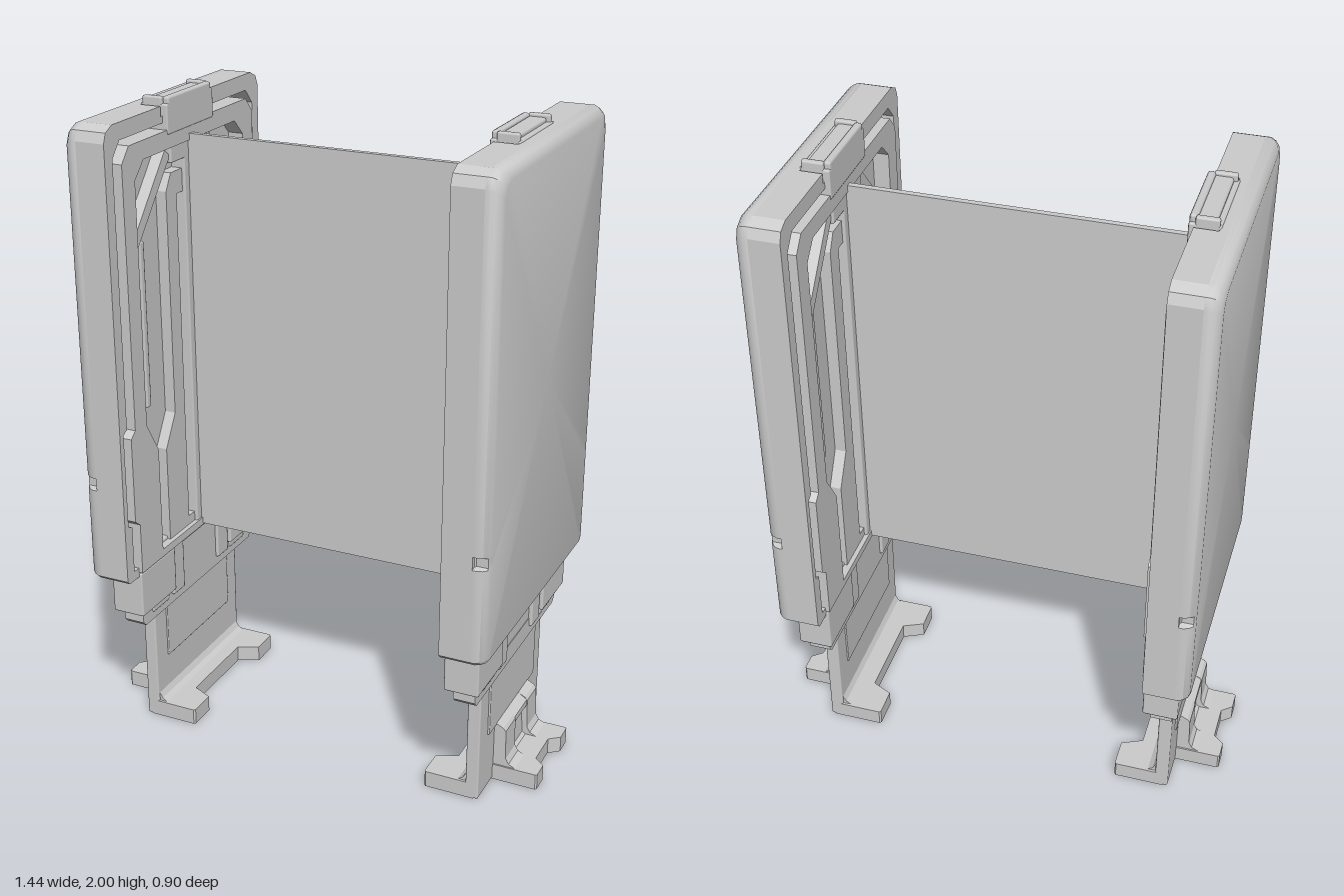
import * as THREE from 'three';
import { toCreasedNormals } from 'three/addons/utils/BufferGeometryUtils.js';
import { RoundedBoxGeometry } from 'three/addons/geometries/RoundedBoxGeometry.js';

const grey = new THREE.MeshStandardMaterial({ color: 0xcccccc });

function add(group, name, geometry) {
  const mesh = new THREE.Mesh(geometry, grey);
  mesh.name = name;
  group.add(mesh);
  return mesh;
}

// Box given by its limits on each axis, edges slightly rounded
function box(x0, x1, y0, y1, z0, z1, r = 0.006) {
  const g = new RoundedBoxGeometry(x1 - x0, y1 - y0, z1 - z0, 1, r);
  return g.translate((x0 + x1) / 2, (y0 + y1) / 2, (z0 + z1) / 2);
}

const toShape = pts => new THREE.Shape(pts.map(p => new THREE.Vector2(...p)));
// Closes a half outline of (z, y) points by mirroring it in z
const mirrored = half => [...half, ...half.slice().reverse().map(([z, y]) => [-z, y])];
const extrude = (shape, depth) => new THREE.ExtrudeGeometry(shape, { depth, bevelEnabled: false });

// Symmetric (z, y) outline, with an optional opening, extruded from x0 to x1
function sidePlate(half, x0, x1, hole) {
  const shape = toShape(mirrored(half));
  if (hole) shape.holes.push(toShape(mirrored(hole)));
  return extrude(shape, x1 - x0).rotateY(Math.PI / 2).translate(x0, 0, 0);
}

// (x, z) outline extruded upward from the floor
const footPlate = (pts, h) => extrude(toShape(pts), h).rotateX(Math.PI / 2).translate(0, h, 0);
// (x, y) outline extruded between z0 and z1
const profile = (pts, z0, z1) => extrude(toShape(pts), z1 - z0).translate(0, 0, z0);

// Outer skin: outlines shrinking toward the outside, with a notch in each edge
function outerSkin() {
  const loop = d => {
    const w = 0.45 - d, n = Math.min(w, 0.43), top = 1.975 - d, bottom = 0.57 + d * 0.3;
    return mirrored([[w - 0.012, bottom], [w, bottom + 0.012], [w, 0.87], [n, 0.875], [n, 0.905],
      [w, 0.91], [w, top - 0.045], [w - 0.012, top - 0.016], [w - 0.045, top]]);
  };
  const rings = [[0.6, 0], [0.613, 0], [0.628, 0.006], [0.639, 0.016], [0.645, 0.032]];
  const pos = [], index = [];
  rings.forEach(([x, d]) => loop(d).forEach(([z, y]) => pos.push(x, y, z)));
  const n = pos.length / 3 / rings.length;
  for (let r = 0; r < rings.length - 1; r++) {
    for (let i = 0; i < n; i++) {
      const a = r * n + i, b = r * n + (i + 1) % n;
      index.push(a, a + n, b, b, a + n, b + n);
    }
  }
  const centre = pos.length / 3, last = (rings.length - 1) * n;
  pos.push(0.645, 1.27, 0);
  for (let i = 0; i < n; i++) index.push(last + i, centre, last + (i + 1) % n);
  const g = new THREE.BufferGeometry();
  g.setAttribute('position', new THREE.Float32BufferAttribute(pos, 3));
  g.setIndex(index);
  return toCreasedNormals(g, 0.6);
}

function buildPanel(g) {
  add(g, 'outerSkin', outerSkin());
  // Rim around the inner recess, cut at the top for the latch
  add(g, 'shellRim', sidePlate(
    [[0.438, 0.57], [0.45, 0.582], [0.45, 1.93], [0.438, 1.959], [0.405, 1.975], [0.145, 1.975], [0.145, 1.945]],
    0.508, 0.6,
    [[0.41, 0.6], [0.41, 0.75], [0.43, 0.76], [0.43, 1.06], [0.41, 1.07], [0.41, 1.88], [0.37, 1.925]]));
  add(g, 'recessFloor', box(0.575, 0.605, 0.58, 1.94, -0.435, 0.435));
  add(g, 'latchSeat', box(0.575, 0.605, 1.9, 1.975, -0.15, 0.15, 0.002));

  // Raised inner frame
  add(g, 'innerFrame', sidePlate(
    [[0.385, 0.585], [0.385, 0.75], [0.41, 0.77], [0.41, 1.04], [0.385, 1.06], [0.385, 1.86], [0.345, 1.905]],
    0.495, 0.58,
    [[0.26, 0.61], [0.26, 0.95], [0.32, 1.05], [0.32, 1.8], [0.27, 1.85]]));
  add(g, 'innerFloor', box(0.545, 0.58, 0.6, 1.88, -0.35, 0.35));
  for (const s of [1, -1]) {
    const brace = add(g, 'diagonalBrace', new THREE.BoxGeometry(0.04, 0.3, 0.035));
    brace.position.set(0.528, 1.72, s * 0.215);
    brace.rotation.x = -s * 0.71;
    add(g, 'sideRib', box(0.525, 0.55, 1.08, 1.6, s * 0.25 - 0.012, s * 0.25 + 0.012));
  }

  // Central channel holding the screen
  add(g, 'centralChannel', sidePlate(
    [[0.19, 0.585], [0.19, 0.92], [0.13, 1.02], [0.13, 1.72], [0.1, 1.77]], 0.51, 0.55,
    [[0.07, 0.64], [0.07, 1.7]]));
  add(g, 'channelStrip', box(0.5, 0.55, 0.59, 1.87, -0.035, 0.035));
  add(g, 'topBracket', box(0.5, 0.55, 1.8, 1.87, -0.11, 0.11));

  // Latch over the top edge
  add(g, 'latchBody', box(0.492, 0.58, 1.89, 1.98, -0.135, 0.135));
  add(g, 'latchGrip', box(0.492, 0.515, 1.96, 2, -0.125, 0.125, 0.008));
  add(g, 'latchRidge', box(0.51, 0.565, 1.96, 1.992, -0.12, 0.12, 0.008));
  for (const s of [1, -1]) {
    add(g, 'latchEnd', box(0.51, 0.575, 1.96, 2, s * 0.125 - 0.01, s * 0.125 + 0.01));
  }
}

function buildCarriage(g) {
  add(g, 'carriageCore', box(0.52, 0.585, 0.42, 0.62, -0.31, 0.31));
  add(g, 'lowerStep', sidePlate(
    [[0.34, 0.375], [0.355, 0.39], [0.355, 0.425], [0.345, 0.435]], 0.52, 0.587));
  for (const s of [1, -1]) {
    const z = s * 0.2825;
    add(g, 'carriageBlock', box(0.5, 0.607, 0.43, 0.58, z - 0.1025, z + 0.1025));
    add(g, 'carriageLip', box(0.51, 0.597, 0.405, 0.58, s * 0.145 - 0.035, s * 0.145 + 0.035));
    add(g, 'carriageStop', box(0.515, 0.592, 0.4, 0.44, s * 0.25 - 0.05, s * 0.25 + 0.05));
  }
}

function buildFoot(g) {
  add(g, 'post', box(0.533, 0.575, 0, 0.4, -0.268, 0.268));
  add(g, 'postPanel', box(0.528, 0.581, 0.19, 0.39, -0.2, 0.2, 0.003));

  // Inner foot: two prongs joined by a narrow base
  add(g, 'innerFoot', footPlate([[0.56, -0.268], [0.405, -0.268], [0.4, -0.262], [0.4, -0.175],
    [0.465, -0.145], [0.465, 0.145], [0.4, 0.175], [0.4, 0.262], [0.405, 0.268], [0.56, 0.268]], 0.052));
  add(g, 'innerFillet', profile([[0.545, 0.04], [0.545, 0.085], [0.533, 0.08], [0.523, 0.062], [0.505, 0.05]],
    -0.26, 0.26));

  // Outer foot with its bracket against the post
  add(g, 'outerFoot', footPlate([[0.56, 0.145], [0.713, 0.145], [0.718, 0.14], [0.718, 0.085],
    [0.685, 0.058], [0.685, -0.058], [0.718, -0.085], [0.718, -0.14], [0.713, -0.145], [0.56, -0.145]], 0.052));
  const cheek = [[0.56, 0.04], [0.65, 0.05], [0.625, 0.062], [0.615, 0.08], [0.612, 0.175], [0.604, 0.185],
    [0.58, 0.197], [0.56, 0.197]];
  add(g, 'bracketCheek', profile(cheek, 0.055, 0.14));
  add(g, 'bracketCheek', profile(cheek, -0.14, -0.055));
  add(g, 'bracketCentre', profile([[0.56, 0.03], [0.62, 0.045], [0.6, 0.06], [0.593, 0.15], [0.61, 0.158],
    [0.61, 0.178], [0.58, 0.197], [0.56, 0.197]], -0.056, 0.056));
}

export function createModel() {
  const model = new THREE.Group();
  model.name = 'gate';
  for (const [name, turn] of [['left', 0], ['right', Math.PI]]) {
    const pylon = new THREE.Group();
    pylon.name = name + 'Pylon';
    for (const [part, build] of [['Panel', buildPanel], ['Carriage', buildCarriage], ['Foot', buildFoot]]) {
      const group = new THREE.Group();
      group.name = name + part;
      build(group);
      pylon.add(group);
    }
    pylon.rotation.y = turn;
    model.add(pylon);
  }
  // Thin screen between the pylons
  add(model, 'screen', new THREE.BoxGeometry(1.01, 1.28, 0.018)).position.y = 1.23;
  return model;
}
